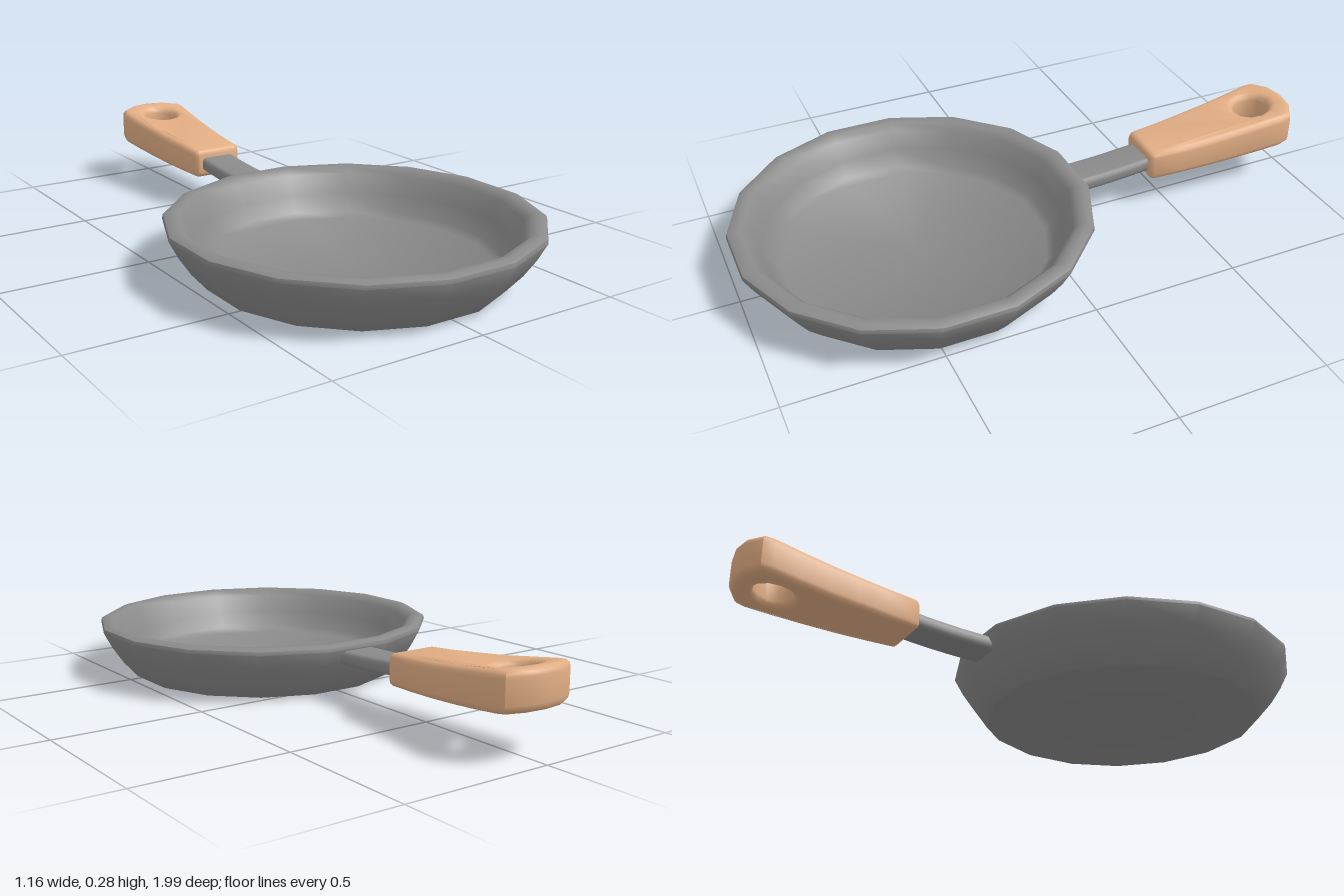
import * as THREE from 'three';
import { toCreasedNormals } from 'three/addons/utils/BufferGeometryUtils.js';

const metal = new THREE.MeshStandardMaterial({ color: 0x8a8a8a });
const wood = new THREE.MeshStandardMaterial({ color: 0xe2ae84 });

function addPart(group, name, geometry, material) {
  const mesh = new THREE.Mesh(geometry, material);
  mesh.name = name;
  group.add(mesh);
}

// Moves every vertex to the height given by rule(y, z)
function bend(geometry, rule) {
  const p = geometry.attributes.position;
  for (let i = 0; i < p.count; i++) p.setY(i, rule(p.getY(i), p.getZ(i)));
  return toCreasedNormals(geometry, 0.75);
}

// Sixteen-sided dish: underside, flared wall, rolled rim, inner wall, floor
function panGeometry() {
  const profile = [
    [0, 0], [0.465, 0], [0.477, 0.006], [0.525, 0.06], [0.562, 0.115],
    [0.591, 0.17], [0.588, 0.182], [0.57, 0.19], [0.545, 0.188],
    [0.522, 0.168], [0.495, 0.105], [0.462, 0.05], [0.44, 0.03], [0, 0.025],
  ].map(([r, y]) => new THREE.Vector2(r, y));
  const geometry = new THREE.LatheGeometry(profile, 16, Math.PI / 16);
  geometry.translate(0, 0, 0.415);
  return toCreasedNormals(geometry, 0.75);
}

// Flat bar with rounded edges, rising gently toward the grip
function neckGeometry() {
  const w = 0.064, h = 0.024, r = 0.018;
  const s = new THREE.Shape();
  s.moveTo(-w + r, -h);
  s.lineTo(w - r, -h);
  s.quadraticCurveTo(w, -h, w, -h + r);
  s.lineTo(w, h - r);
  s.quadraticCurveTo(w, h, w - r, h);
  s.lineTo(-w + r, h);
  s.quadraticCurveTo(-w, h, -w, h - r);
  s.lineTo(-w, -h + r);
  s.quadraticCurveTo(-w, -h, -w + r, -h);
  const geometry = new THREE.ExtrudeGeometry(s, {
    depth: 0.33, steps: 5, curveSegments: 3, bevelEnabled: false,
  });
  geometry.translate(0, 0, -0.45);
  return bend(geometry, (y, z) => {
    const t = (-z - 0.12) / 0.33;
    return y + 0.142 + 0.02 * t * t;
  });
}

// Tapered grip with a hanging hole, bent upward along its length
function gripGeometry() {
  const side = [
    [0.078, 0.42], [0.09, 0.432], [0.098, 0.53], [0.107, 0.63], [0.115, 0.73],
    [0.124, 0.83], [0.132, 0.92], [0.124, 0.955], [0.065, 0.99],
  ];
  const outline = [...side, [0, 1], ...side.map(([x, l]) => [-x, l]).reverse()];
  const shape = new THREE.Shape(outline.map(([x, l]) => new THREE.Vector2(x, l)));
  const hole = new THREE.Path();
  hole.absarc(0, 0.87, 0.063, 0, Math.PI * 2, true);
  shape.holes.push(hole);
  const b = 0.022;
  const geometry = new THREE.ExtrudeGeometry(shape, {
    depth: 0.115 - 2 * b, curveSegments: 6, bevelEnabled: true,
    bevelThickness: b, bevelSize: b, bevelOffset: -b, bevelSegments: 3,
  });
  geometry.translate(0, 0, b - 0.0575);
  geometry.rotateX(-Math.PI / 2);
  return bend(geometry, (y, z) => {
    const t = (-z - 0.42) / 0.58;
    return 0.1625 + 0.018 * t + 0.037 * t * t + (y / 0.115) * (0.105 + 0.022 * t);
  });
}

export function createModel() {
  const group = new THREE.Group();
  group.name = 'fryingPan';
  addPart(group, 'pan', panGeometry(), metal);
  addPart(group, 'neck', neckGeometry(), metal);
  addPart(group, 'grip', gripGeometry(), wood);
  return group;
}
